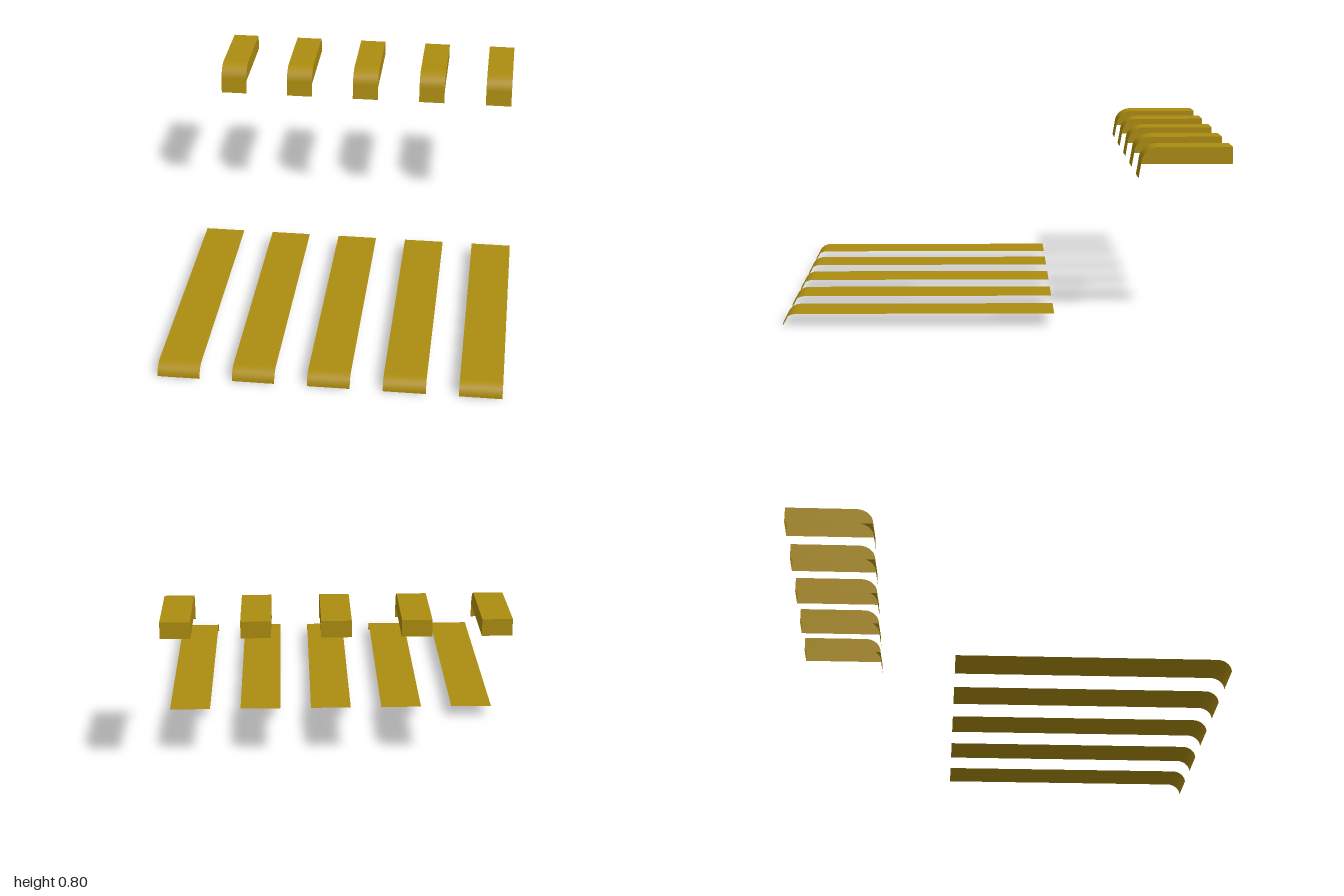
import * as THREE from 'three';

const CENTERS = [-0.685, -0.343, 0, 0.343, 0.685];

// Sheet of the given width following a back-to-front profile of [z, y] points
function sheet(width, profile) {
  const geo = new THREE.PlaneGeometry(width, 1, 1, profile.length - 1);
  const pos = geo.attributes.position;
  for (let i = 0; i < pos.count; i++) {
    const [z, y] = profile[Math.floor(i / 2)];
    pos.setXYZ(i, pos.getX(i), y, z);
  }
  geo.computeVertexNormals();
  return geo;
}

// Rounded front edge: quarter arc from the flat top down to the front
function arc(zFront, yTop, rz, ry, steps = 10) {
  const points = [];
  for (let i = 0; i <= steps; i++) {
    const a = (i / steps) * Math.PI / 2;
    points.push([zFront - rz + rz * Math.sin(a), yTop - ry + ry * Math.cos(a)]);
  }
  return points;
}

export function createModel() {
  const model = new THREE.Group();
  const gold = new THREE.MeshStandardMaterial({ color: 0xac8c10, side: THREE.DoubleSide });
  gold.name = 'dark gold';

  const add = (parent, name, geo) => {
    const mesh = new THREE.Mesh(geo, gold);
    mesh.name = name;
    parent.add(mesh);
  };

  // Long lower strips, curled down at the front
  const stripGeo = sheet(0.194, [[-0.213, 0.055], [0.93, 0.055], ...arc(1, 0.055, 0.06, 0.055)]);

  // Upper caps: curved top with a hanging front flap, side walls and a back wall
  const capWidth = 0.13, capBottom = 0.725;
  const curve = arc(-0.595, 0.8, 0.08, 0.075);
  const topGeo = sheet(capWidth, [[-1, 0.8], [-0.69, 0.8], ...curve, [-0.584, 0.66]]);
  const sideShape = new THREE.Shape(
    [[-1, capBottom], ...[...curve].reverse(), [-1, 0.8]].map(([z, y]) => new THREE.Vector2(z, y)));
  const sideGeo = new THREE.ShapeGeometry(sideShape).rotateY(-Math.PI / 2);
  const backGeo = new THREE.PlaneGeometry(capWidth, 0.8 - capBottom)
    .rotateY(Math.PI).translate(0, (0.8 + capBottom) / 2, -1);

  for (const x of CENTERS) {
    const strip = new THREE.Group();
    strip.name = 'lowerStrip';
    add(strip, 'stripSurface', stripGeo);

    const cap = new THREE.Group();
    cap.name = 'upperCap';
    add(cap, 'capTop', topGeo);
    add(cap, 'capBack', backGeo);
    // The +x wall is turned round so that both walls face outward
    add(cap, 'capRightSide', sideGeo.clone().translate(-capWidth / 2, 0, 0));
    const left = sideGeo.clone().translate(capWidth / 2, 0, 0);
    const idx = left.index.array;
    for (let i = 0; i < idx.length; i += 3) [idx[i], idx[i + 1]] = [idx[i + 1], idx[i]];
    left.computeVertexNormals();
    add(cap, 'capLeftSide', left);

    strip.position.x = cap.position.x = x;
    model.add(strip, cap);
  }
  return model;
}
